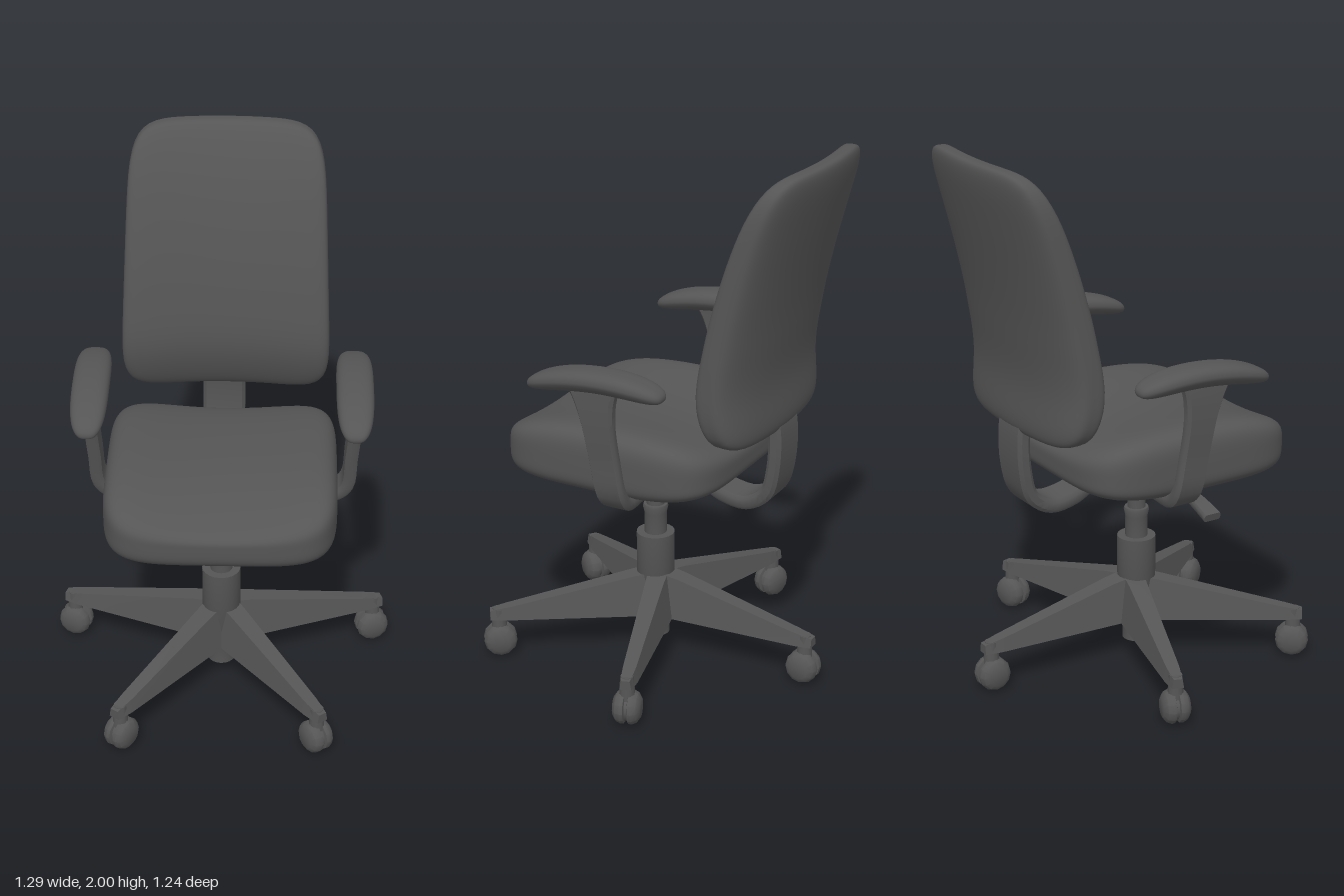
import * as THREE from 'three';
import { mergeVertices, toCreasedNormals } from 'three/addons/utils/BufferGeometryUtils.js';

const charcoal = new THREE.MeshStandardMaterial({ color: 0x555555 });
charcoal.name = 'charcoal';
const V = (x, y, z) => new THREE.Vector3(x, y, z);

function add(parent, name, geometry, x = 0, y = 0, z = 0) {
  const mesh = new THREE.Mesh(geometry, charcoal);
  mesh.name = name;
  mesh.position.set(x, y, z);
  parent.add(mesh);
  return mesh;
}

// Closed solid through equal-length rings of points, faces turned outward
function loft(rings, crease = 0.7) {
  const n = rings[0].length, pts = rings.flat(), tris = [];
  for (let r = 0; r < rings.length - 1; r++) {
    for (let i = 0; i < n; i++) {
      const a = r * n + i, b = r * n + (i + 1) % n;
      tris.push([a, b, b + n], [a, b + n, a + n]);
    }
  }
  const last = (rings.length - 1) * n;
  for (let i = 1; i < n - 1; i++) tris.push([0, i + 1, i], [last, last + i, last + i + 1]);
  let volume = 0;
  for (const [a, b, c] of tris) volume += pts[a].dot(pts[b].clone().cross(pts[c]));
  const index = tris.flatMap(([a, b, c]) => (volume < 0 ? [a, c, b] : [a, b, c]));
  const g = new THREE.BufferGeometry().setFromPoints(pts);
  g.setIndex(index);
  return toCreasedNormals(g, crease);
}

// Bent flat bar: points are [a, b, centre, halfWidth] with a, b in the bending plane
function bar(points, halfThick, toWorld, steps = 28) {
  const path = new THREE.CatmullRomCurve3(points.map(p => V(p[0], p[1], p[2])));
  const widths = new THREE.CatmullRomCurve3(points.map((p, i) => V(p[3], i, 0)));
  const rings = [];
  for (let i = 0; i <= steps; i++) {
    const t = i / steps, p = path.getPoint(t), d = path.getTangent(t), w = widths.getPoint(t).x;
    const len = Math.hypot(d.x, d.y), na = -d.y / len * halfThick, nb = d.x / len * halfThick;
    const corner = (k, c) => toWorld(p.x + na * k, p.y + nb * k, p.z + c * w);
    // chamfered rectangle
    rings.push([corner(1, -0.85), corner(1, 0.85), corner(0.5, 1), corner(-0.5, 1),
      corner(-1, 0.85), corner(-1, -0.85), corner(-0.5, -1), corner(0.5, -1)]);
  }
  return loft(rings);
}

// Rounded pad: a box swollen to a superellipsoid, then shaped by a rule.
// thin is the axis of the pad's thickness, kp rounds its outline, kv its rim
function cushion(thin, kp, kv, shape, n = 24) {
  let g = new THREE.BoxGeometry(2, 2, 2, n, n, n);
  g.deleteAttribute('normal');
  g.deleteAttribute('uv');
  g = mergeVertices(g, 1e-4);
  const pos = g.attributes.position, p = V(0, 0, 0);
  for (let i = 0; i < pos.count; i++) {
    p.fromBufferAttribute(pos, i);
    const q = [p.x, p.y, p.z].map(Math.abs);
    const t = q.splice(thin === 'y' ? 1 : 2, 1)[0];
    const outline = Math.pow(q[0] ** kp + q[1] ** kp, 1 / kp);
    p.divideScalar(Math.pow(outline ** kv + t ** kv, 1 / kv));
    pos.setXYZ(i, ...shape(p.x, p.y, p.z));
  }
  g.computeVertexNormals();
  return g;
}

function lathe(profile, sides, crease = 0.7) {
  const g = new THREE.LatheGeometry(profile.map(p => new THREE.Vector2(...p)), sides);
  return toCreasedNormals(g, crease);
}

export function createModel() {
  const chair = new THREE.Group();
  chair.name = 'officeChair';

  // Seat cushion: dished top, front lip rounded down, underside rising to the rear
  add(chair, 'seat', cushion('y', 5, 4.2, (x, y, z) => {
    const top = 1.06 - 0.075 * (1 - x * x) - 0.06 * Math.max(0, z) ** 2 - 0.03 * Math.max(0, -z) ** 2;
    const bottom = 0.75 + 0.04 * Math.max(0, -z) ** 2;
    const mid = 0.87;
    return [0.005 + x * 0.42, y > 0 ? mid + y * (top - mid) : mid + y * (mid - bottom), 0.11 + z * 0.43];
  }));

  // Backrest: leaning spine, hollowed across its width
  const spine = new THREE.CatmullRomCurve3([V(1, -0.405, 0), V(1.2, -0.375, 0), V(1.4, -0.4, 0),
    V(1.6, -0.445, 0), V(1.8, -0.505, 0), V(2, -0.58, 0)]);
  add(chair, 'backrest', cushion('z', 7, 3.8, (x, y, z) => {
    const t = (y + 1) / 2;
    const px = x * (0.395 - 0.04 * t);
    const half = 0.082 - 0.022 * t ** 4;
    return [0.008 + px, 1 + t, spine.getPoint(t).y + z * half + 0.36 * px * px];
  }));

  // Bent bar carrying the backrest
  add(chair, 'backSupport', bar([[-0.415, 1.07, 0, 0.08], [-0.43, 0.99, 0, 0.08], [-0.425, 0.85, 0, 0.08],
    [-0.395, 0.75, 0, 0.075], [-0.31, 0.695, 0, 0.07], [-0.21, 0.705, 0, 0.065],
    [-0.14, 0.735, 0, 0.06], [-0.05, 0.74, 0, 0.06]], 0.026, (a, b, c) => V(c, b, a)));

  // Tilt mechanism under the seat
  const boxSide = [[0.24, 0.78], [0.24, 0.68], [-0.04, 0.68], [-0.1, 0.745], [-0.1, 0.78]];
  add(chair, 'tiltMechanism', loft([-0.11, 0.12].map(x => boxSide.map(([z, y]) => V(x, y, z)))));
  add(chair, 'heightLever', bar([[-0.08, 0.705, 0.17, 0.02], [-0.2, 0.7, 0.17, 0.02],
    [-0.3, 0.685, 0.165, 0.03], [-0.385, 0.66, 0.165, 0.035]], 0.015, (a, b, c) => V(a, b, c), 14));

  // Arms
  for (const s of [1, -1]) {
    const arm = new THREE.Group();
    arm.name = s > 0 ? 'leftArm' : 'rightArm';
    arm.position.x = 0.008;
    chair.add(arm);
    add(arm, 'armPad', cushion('y', 3.2, 2.7, (x, y, z) => {
      const pz = 0.06 + z * 0.268;
      const taper = y < 0 ? 1 + 0.3 * y : 1;
      return [s * 0.472 + x * 0.067 * taper, 1.25 - 0.5 * pz * pz + y * 0.042, pz];
    }, 14));
    add(arm, 'armUpright', bar([[0.475, 1.24, 0.075, 0.11], [0.478, 1.17, 0.062, 0.08],
      [0.477, 1.08, 0.048, 0.062], [0.468, 0.95, 0.03, 0.057], [0.456, 0.82, 0.01, 0.056],
      [0.415, 0.775, 0.005, 0.052], [0.3, 0.767, 0.01, 0.05], [0.08, 0.757, 0.03, 0.05]],
    0.023, (a, b, c) => V(s * a, b, c)));
  }

  // Gas lift column
  add(chair, 'column', lathe([[0, 0.05], [0.052, 0.05], [0.052, 0.16], [0.072, 0.2], [0.072, 0.47],
    [0.042, 0.47], [0.042, 0.55], [0.048, 0.575], [0.045, 0.585], [0.034, 0.585], [0.034, 0.69], [0, 0.69]], 20),
  0.003, 0, 0.09);

  // Five-legged base: channel-shaped legs open below, rounded grooved casters
  const base = new THREE.Group();
  base.name = 'base';
  base.position.set(0.006, 0, 0.072);
  chair.add(base);
  const legRing = (r, top, wTop, wBottom, roof) => {
    const inner = wBottom - 0.014;
    const innerTop = Math.min(inner, wTop - 0.01);
    return [V(-inner, 0.15, r), V(-wBottom, 0.15, r), V(-wTop, top, r), V(wTop, top, r),
      V(wBottom, 0.15, r), V(inner, 0.15, r), V(innerTop, roof, r), V(-innerTop, roof, r)];
  };
  const casterProfile = [[0, -0.05], [0.036, -0.05], [0.055, -0.038], [0.063, -0.02], [0.061, -0.008], [0.05, -0.005],
    [0.05, 0.005], [0.061, 0.008], [0.063, 0.02], [0.055, 0.038], [0.036, 0.05], [0, 0.05]];
  for (let i = 0; i < 5; i++) {
    const leg = new THREE.Group();
    leg.name = 'leg' + (i + 1);
    leg.rotation.y = Math.PI + i * Math.PI * 2 / 5;
    base.add(leg);
    add(leg, 'legBeam', loft([legRing(0, 0.32, 0.04, 0.07, 0.27), legRing(0.1, 0.305, 0.035, 0.062, 0.26),
      legRing(0.56, 0.203, 0.024, 0.034, 0.175), legRing(0.58, 0.199, 0.023, 0.033, 0.15),
      legRing(0.645, 0.185, 0.016, 0.022, 0.15)], 0.4));
    add(leg, 'casterStem', new THREE.CylinderGeometry(0.024, 0.03, 0.09, 10), 0, 0.145, 0.611);
    const wheel = add(leg, 'casterWheel', lathe(casterProfile, 12, 0.6), 0, 0.063, 0.608);
    wheel.rotation.z = Math.PI / 2;
  }
  return chair;
}
